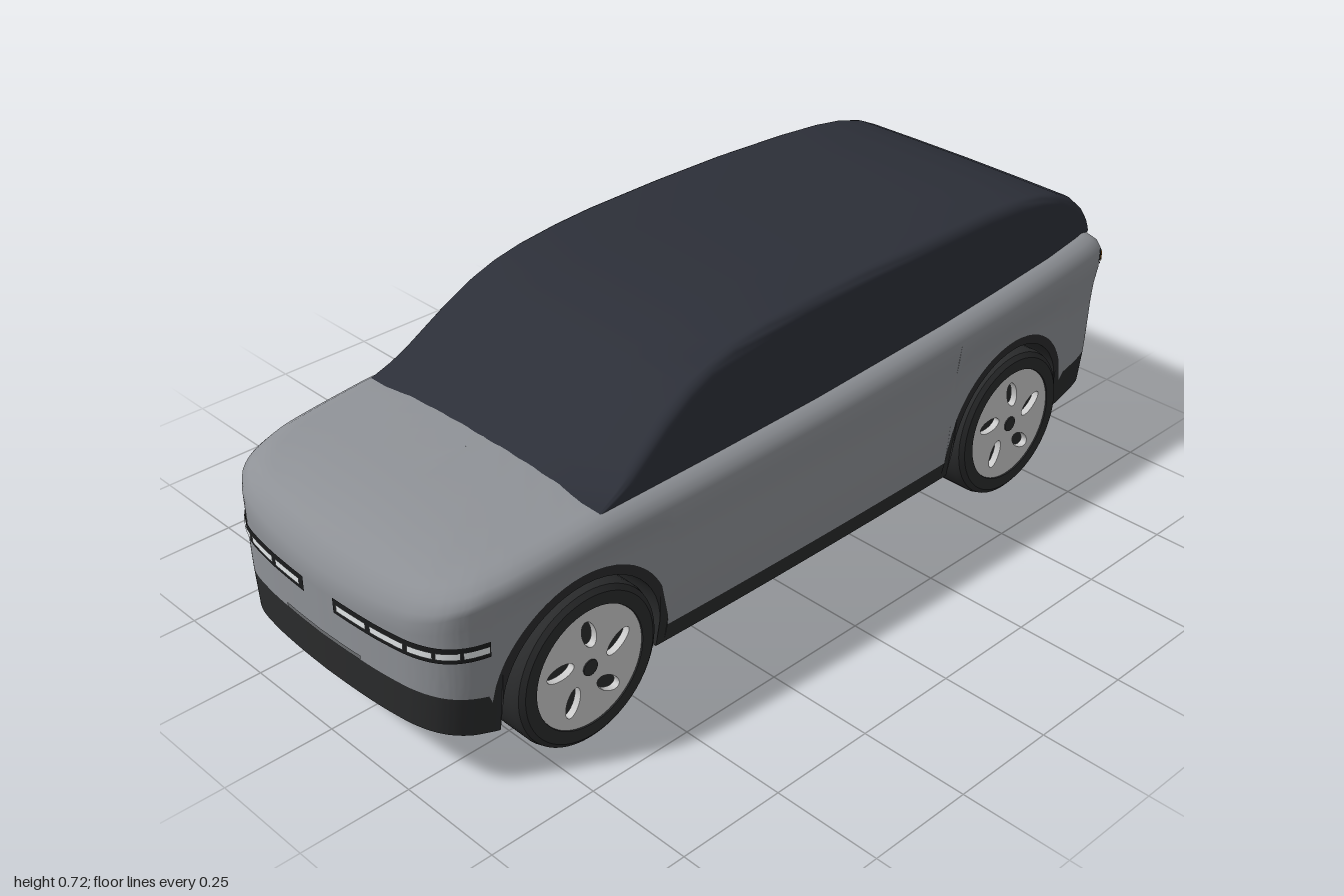
import * as THREE from 'three';
import { toCreasedNormals } from 'three/addons/utils/BufferGeometryUtils.js';

const mat = (color) => new THREE.MeshStandardMaterial({ color, side: THREE.DoubleSide });
const paint = mat(0x8e9196), glass = mat(0x2c2f38), dark = mat(0x2a2b2c), black = mat(0x1b1c1d);
const alloy = mat(0xcccccc), lamp = mat(0xe4e8ea), amber = mat(0x8a5208);
const WHEEL_Z = 0.65, WHEEL_Y = 0.18;

// Linear interpolation in a table of [key, value] with descending keys
function interp(table, k) {
  if (k >= table[0][0]) return table[0][1];
  for (let i = 1; i < table.length; i++) {
    const [a, va] = table[i - 1], [b, vb] = table[i];
    if (k >= b) return va + (vb - va) * (a - k) / (a - b || 1);
  }
  return table[table.length - 1][1];
}

// Surface through rows of points
function grid(rows, closed = false) {
  const n = rows[0].length, index = [];
  for (let r = 0; r < rows.length - 1; r++) {
    for (let i = 0; i < (closed ? n : n - 1); i++) {
      const j = (i + 1) % n, a = r * n + i, b = r * n + j;
      index.push(a, b, b + n, a, b + n, a + n);
    }
  }
  const g = new THREE.BufferGeometry();
  g.setAttribute('position', new THREE.Float32BufferAttribute(rows.flat(2), 3));
  g.setIndex(index);
  g.computeVertexNormals();
  return g;
}

function add(parent, name, geometry, material, x = 0, y = 0, z = 0) {
  const m = new THREE.Mesh(geometry, material);
  m.name = name;
  m.position.set(x, y, z);
  parent.add(m);
  return m;
}

// Height lines along the car, by z
const hoodTable = [[0.996, 0.4], [0.985, 0.415], [0.965, 0.432], [0.93, 0.45], [0.87, 0.465], [0.8, 0.475],
  [0.6, 0.492], [0, 0.508], [-0.6, 0.53], [-0.996, 0.55]];
const hood = (z) => interp(hoodTable, z);
const arch = (z, r) => {
  const d = Math.abs(z) - WHEEL_Z;
  return Math.abs(d) <= r ? WHEEL_Y + Math.sqrt(r * r - d * d) : 0;
};
const bottom = (z) => Math.max(arch(z, 0.195),
  interp([[1, 0.15], [0.9, 0.125], [0.85, 0.115], [-0.85, 0.115], [-0.9, 0.13], [-1, 0.155]], z));
const claddingTop = (z) => Math.max(arch(z, 0.217),
  interp([[1, 0.235], [0.87, 0.215], [0.86, 0.163], [-0.86, 0.163], [-0.87, 0.215], [-1, 0.238]], z));
// Width factor by height
const flare = (y) => interp([[0.46, 1], [0.43, 0.982], [0.4, 0.97], [0.25, 0.955], [0.17, 0.94], [0.12, 0.91]], y);

// Half plan outline, nose to tail, with extra samples at the wheel arches
function planOutline() {
  const plan = [[0, 0.996], [0.1, 0.993], [0.2, 0.985], [0.28, 0.97], [0.33, 0.945], [0.36, 0.91], [0.378, 0.86],
    [0.388, 0.8], [0.396, 0.6], [0.403, 0.3], [0.405, 0], [0.403, -0.3], [0.396, -0.6], [0.384, -0.85],
    [0.374, -0.95], [0.363, -0.98], [0.34, -0.992], [0.2, -0.9955], [0, -0.996]];
  const curve = new THREE.CatmullRomCurve3(plan.map(([x, z]) => new THREE.Vector3(x, 0, z)));
  const pts = curve.getPoints(144).map((p) => [p.x, p.z]);
  const widths = pts.map(([x, z]) => [z, x]);
  for (const zc of [WHEEL_Z, -WHEEL_Z]) {
    const zs = [0.1949, 0.1951, 0.2169, 0.2171].flatMap((d) => [zc + d, zc - d]);
    for (let k = 1; k < 24; k++) zs.push(zc + 0.195 * Math.cos(k * Math.PI / 24));
    for (const z of zs) pts.push([interp(widths, z), z]);
  }
  return pts.sort((a, b) => b[1] - a[1]);
}

function wheel() {
  const g = new THREE.Group();
  // Tyre with rounded shoulders, axis turned to x
  const profile = [[0.13, -0.06], [0.165, -0.06], [0.176, -0.052], [0.18, -0.038], [0.18, 0.038],
    [0.176, 0.052], [0.165, 0.06], [0.137, 0.06], [0.133, 0.045]];
  const tyre = new THREE.LatheGeometry(profile.map(([r, h]) => new THREE.Vector2(r, h)), 56);
  add(g, 'tyre', toCreasedNormals(tyre, 0.6), dark).rotation.z = -Math.PI / 2;
  const well = add(g, 'wheelBacking', new THREE.CylinderGeometry(0.135, 0.135, 0.09, 40), dark, -0.012);
  well.rotation.z = Math.PI / 2;
  // Alloy disc with five openings
  const face = new THREE.Shape().absarc(0, 0, 0.136, 0, Math.PI * 2);
  for (let i = 0; i < 5; i++) {
    const a = Math.PI / 2 + i * Math.PI * 2 / 5;
    face.holes.push(new THREE.Path().absellipse(0.078 * Math.cos(a), 0.078 * Math.sin(a),
      0.034, 0.017, 0, Math.PI * 2, true, a + 0.3));
  }
  const disc = new THREE.ExtrudeGeometry(face, { depth: 0.016, bevelEnabled: false, curveSegments: 40 });
  add(g, 'rim', disc, alloy, 0.041).rotation.y = Math.PI / 2;
  add(g, 'hubCap', new THREE.CylinderGeometry(0.018, 0.018, 0.01, 20), dark, 0.055).rotation.z = Math.PI / 2;
  return g;
}

export function createModel() {
  const car = new THREE.Group();
  car.name = 'car';
  const half = planOutline();
  const loop = [...half, ...half.slice(1, -1).reverse().map(([x, z]) => [-x, z])];
  const ring = (height) => loop.map(([x, z]) => {
    const y = height(z);
    return [x * flare(y), y, z];
  });

  // Dark lower cladding, with arches cut up through the floor
  const floor = loop.map(([, z]) => [0, bottom(z), z]);
  add(car, 'lowerCladding', toCreasedNormals(grid([floor, ring(bottom), ring(claddingTop)], true), 0.6), dark);
  add(car, 'underbody', new THREE.BoxGeometry(0.52, 0.28, 1.72), black, 0, 0.25, 0);

  // Painted body: sides up to the shoulder, then rolled inwards over the hood
  const rows = [];
  const shoulder = (z) => hood(z) - 0.037;
  for (let k = 0; k <= 6; k++) {
    rows.push(ring((z) => claddingTop(z) + (shoulder(z) - claddingTop(z)) * k / 6));
  }
  for (const [inset, drop] of [[0.006, 0.022], [0.018, 0.01], [0.036, 0], [0.06, 0], [0.1, 0], [0.16, 0],
    [0.24, 0], [0.32, 0], [0.4, 0]]) {
    rows.push(loop.map(([x0, z0]) => {
      const x = x0 * (1 - inset / 0.4), z = z0 * (1 - inset);
      const crown = 0.01 * (1 - (x / 0.4) ** 2) * Math.min(1, inset / 0.16);
      return [x, hood(z) - drop + crown, z];
    }));
  }
  add(car, 'body', toCreasedNormals(grid(rows, true), 0.9), paint);

  // Dark glasshouse and roof, lofted along z
  const roofLine = [[0.59, 0.494], [0.54, 0.517], [0.5, 0.543], [0.4, 0.613], [0.33, 0.652], [0.27, 0.675],
    [0.2, 0.691], [0.1, 0.703], [0, 0.709], [-0.2, 0.713], [-0.4, 0.711], [-0.6, 0.705], [-0.72, 0.696],
    [-0.8, 0.684], [-0.87, 0.665], [-0.92, 0.641], [-0.96, 0.607], [-0.98, 0.575], [-0.988, 0.548]];
  const baseWidth = [[0.59, 0.362], [0.3, 0.368], [0, 0.37], [-0.4, 0.365], [-0.8, 0.348], [-0.95, 0.333], [-0.988, 0.318]];
  const slices = roofLine.map(([z, top]) => {
    const base = Math.min(hood(z) - 0.012, top - 0.002), w = interp(baseWidth, z), h = top - base;
    const r = Math.min(0.028, h * 0.4);
    const at = (y) => w - (y - base) * 0.19;
    const side = [[at(base), base], [at(base + h * 0.35), base + h * 0.35], [at(top - r), top - r]];
    for (let k = 1; k <= 5; k++) {
      const a = k * Math.PI / 10;
      side.push([at(top - r) - r * (1 - Math.cos(a)), top - r + r * Math.sin(a)]);
    }
    side.push([0.16, top + 0.002], [0, top + 0.003]);
    return [...side.map(([x, y]) => [-x, y, z]), ...side.slice(0, -1).reverse().map(([x, y]) => [x, y, z])];
  });
  add(car, 'glasshouse', toCreasedNormals(grid(slices), 0.8), glass);

  // Thin band lying on the body along part of the plan outline
  const band = (name, pts, y0, y1, lift, material) => {
    const row = (y) => pts.map(([x, z]) => [x * flare(y) * (1 + lift * 2), y, z + Math.sign(z) * lift]);
    add(car, name, grid([row(y0), row(y1)]), material);
  };
  const mirror = (pts) => pts.map(([x, z]) => [-x, z]).reverse();

  // Headlamps: dark housing with separate light bars
  const front = half.filter(([x, z]) => x > 0.045 && z > 0.865);
  const bars = 5, step = (front.length - 3) / bars;
  for (const flip of [(p) => p, mirror]) {
    band('headlampHousing', flip(front), 0.311, 0.346, 0.002, black);
    for (let i = 0; i < bars; i++) {
      const a = 1 + Math.floor(i * step), b = 1 + Math.floor((i + 1) * step);
      band('headlampBar', flip(front.slice(a, b)), 0.321, 0.336, 0.004, lamp);
    }
  }
  // Tail lamp across the whole rear
  const rear = half.filter(([, z]) => z < -0.965);
  const rearLoop = [...rear, ...mirror(rear).slice(1)];
  band('tailLampHousing', rearLoop, 0.475, 0.507, 0.002, black);
  band('tailLamp', rearLoop, 0.481, 0.501, 0.004, amber);
  // Slim lip above the front cladding
  band('frontLip', loop.filter(([x, z]) => z > 0.9 && x >= 0 && x < 0.13), 0.236, 0.246, 0.002, mat(0x6c6e71));
  band('frontLip', mirror(half.filter(([x, z]) => z > 0.9 && x < 0.13)), 0.236, 0.246, 0.002, mat(0x6c6e71));

  // Wheels
  for (const side of [1, -1]) {
    for (const end of [1, -1]) {
      const w = wheel();
      w.name = (end > 0 ? 'front' : 'rear') + (side > 0 ? 'Left' : 'Right') + 'Wheel';
      w.position.set(side * 0.329, WHEEL_Y, end * WHEEL_Z);
      if (side < 0) w.rotation.y = Math.PI;
      car.add(w);
    }
  }
  return car;
}
